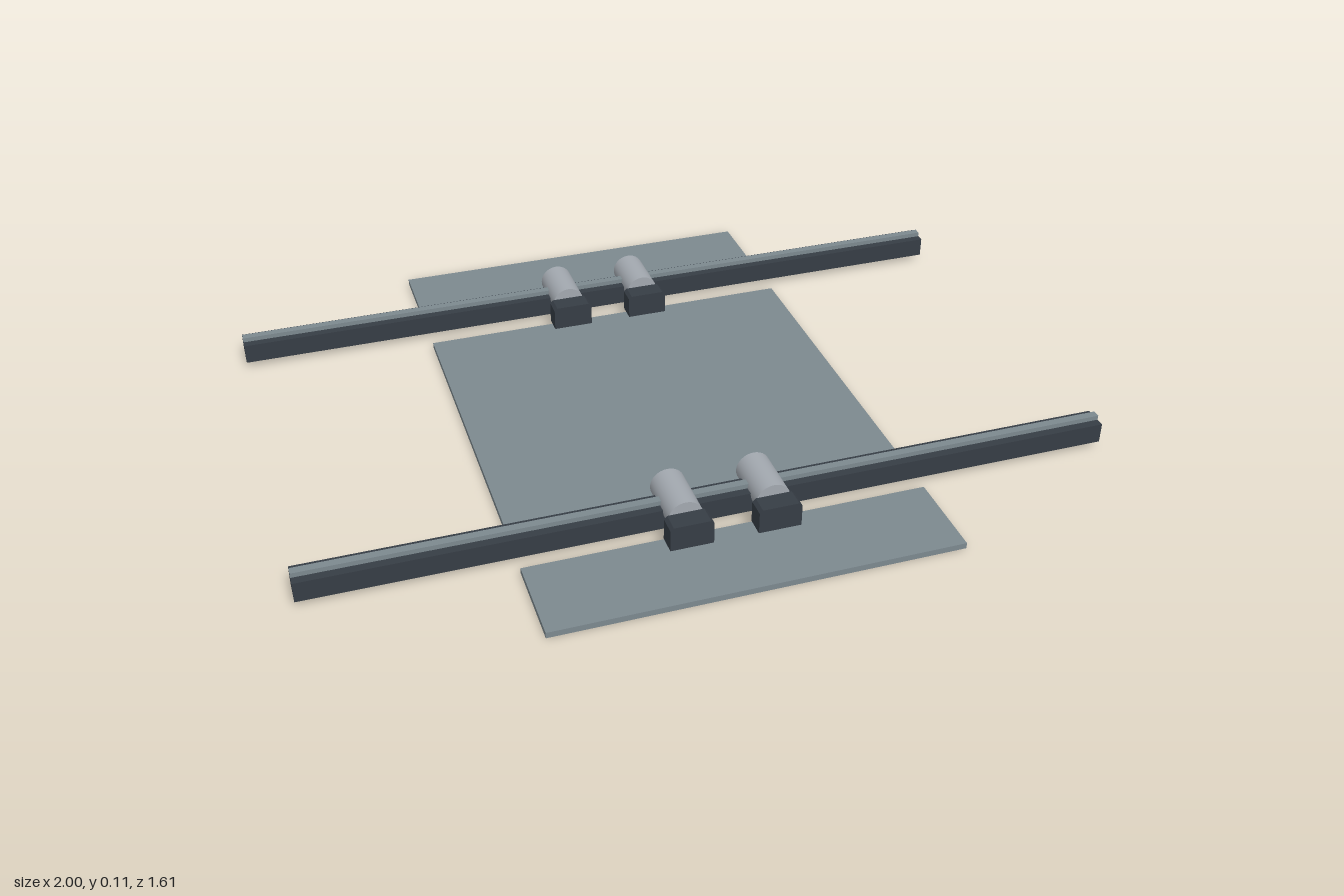
import * as THREE from 'three';

const mat = (name, color) => Object.assign(new THREE.MeshStandardMaterial({ color }), { name });

export function createModel() {
  const plateGrey = mat('plate grey', 0x7c898f);
  const darkSteel = mat('dark steel', 0x363d45);
  const lightSteel = mat('light steel', 0xa3a9b0);

  const model = new THREE.Group();
  model.name = 'railPlatform';

  const add = (parent, name, geometry, material, x, y, z) => {
    const mesh = new THREE.Mesh(geometry, material);
    mesh.name = name;
    mesh.position.set(x, y, z);
    parent.add(mesh);
    return mesh;
  };
  const box = (w, h, d) => new THREE.BoxGeometry(w, h, d);

  // Floor plates: one large panel and a narrow one beyond each rail
  add(model, 'centrePlate', box(1, 0.015, 0.865), plateGrey, 0, 0.0075, 0);
  for (const s of [1, -1]) {
    add(model, s > 0 ? 'frontPlate' : 'backPlate', box(1, 0.015, 0.226), plateGrey, 0, 0.0075, s * 0.692);
  }

  // Clamp block outline with slightly clipped top corners
  const outline = new THREE.Shape([
    [-0.053, -0.032], [0.053, -0.032], [0.053, 0.024], [0.045, 0.032], [-0.045, 0.032], [-0.053, 0.024],
  ].map(([x, y]) => new THREE.Vector2(x, y)));
  const blockGeo = new THREE.ExtrudeGeometry(outline, { depth: 0.049, bevelEnabled: false });
  const drumGeo = new THREE.CylinderGeometry(0.043, 0.043, 0.136, 32).rotateX(Math.PI / 2);

  // Two rail assemblies, both with their blocks facing the front
  for (const s of [1, -1]) {
    const rail = new THREE.Group();
    rail.name = s > 0 ? 'frontRail' : 'backRail';
    rail.position.z = s * 0.513;
    model.add(rail);

    add(rail, 'railBeam', box(2, 0.052, 0.063), darkSteel, 0, 0.044, 0);
    add(rail, 'railStrip', box(2, 0.012, 0.02), plateGrey, 0, 0.076, 0);
    for (const x of [-0.108, 0.108]) {
      add(rail, 'drum', drumGeo, lightSteel, x, 0.068, 0);
      add(rail, 'endBlock', blockGeo, darkSteel, x, 0.051, 0.068);
    }
  }
  return model;
}
